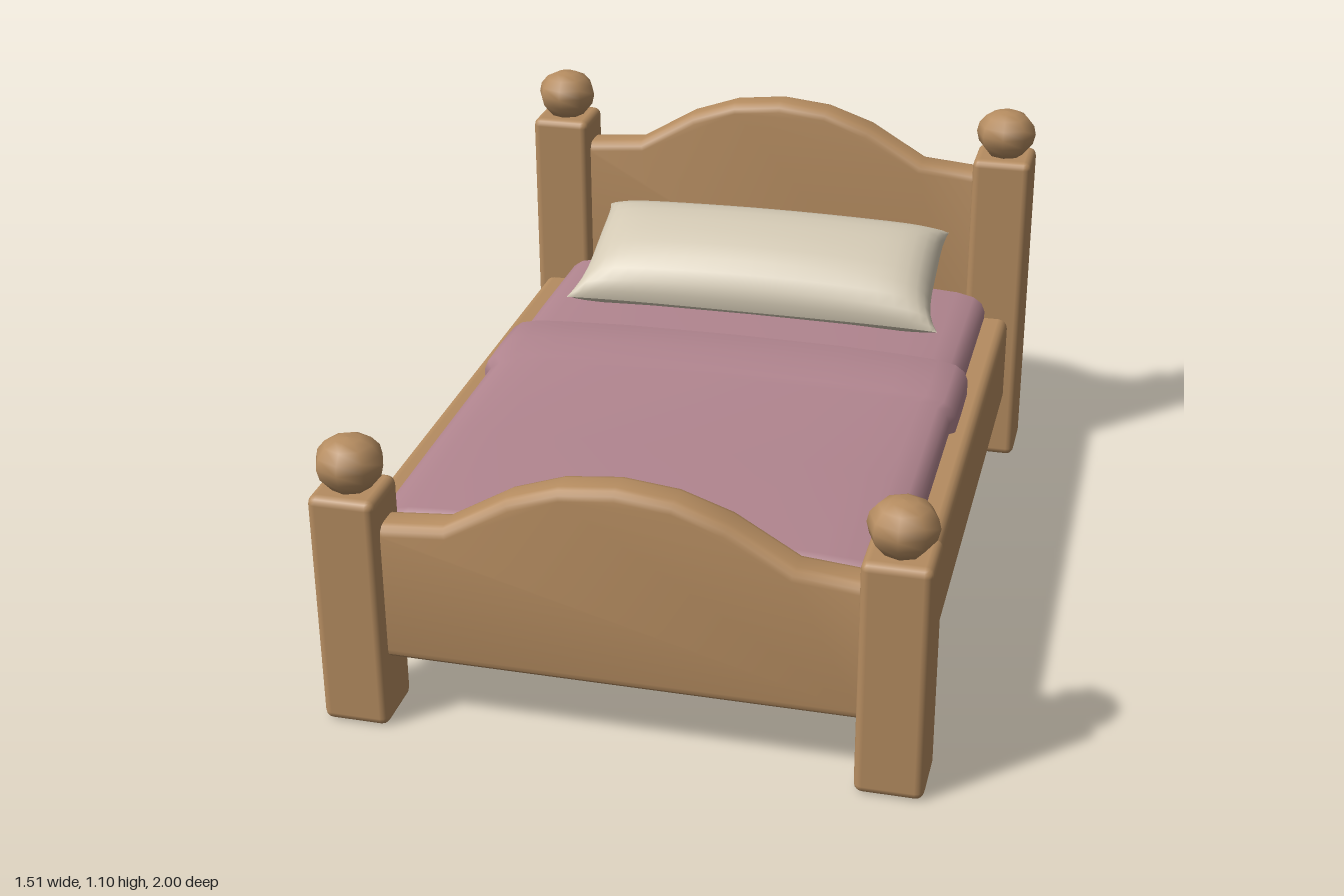
import * as THREE from 'three';
import { RoundedBoxGeometry } from 'three/addons/geometries/RoundedBoxGeometry.js';
import { toCreasedNormals } from 'three/addons/utils/BufferGeometryUtils.js';

const material = (name, color) => {
  const m = new THREE.MeshStandardMaterial({ color });
  m.name = name;
  return m;
};

// Smooth surface through a grid of points; the outside lies on the rows-cross-columns side
const gridSurface = (rows) => {
  const n = rows[0].length, indices = [];
  for (let i = 0; i < rows.length - 1; i++) {
    for (let j = 0; j < n - 1; j++) {
      const a = i * n + j, b = a + 1, c = a + n, d = c + 1;
      indices.push(a, c, b, b, c, d);
    }
  }
  const geometry = new THREE.BufferGeometry();
  geometry.setAttribute('position', new THREE.Float32BufferAttribute(rows.flat(2), 3));
  geometry.setIndex(indices);
  geometry.computeVertexNormals();
  return geometry;
};

export function createModel() {
  const bed = new THREE.Group();
  bed.name = 'bed';
  const wood = material('wood', 0xb58c60);
  const pink = material('bedding pink', 0xb1858f);
  pink.side = THREE.DoubleSide;
  const cream = material('pillow cream', 0xd2c8b3);

  const add = (name, geometry, mat, x = 0, y = 0, z = 0) => {
    const mesh = new THREE.Mesh(geometry, mat);
    mesh.name = name;
    mesh.position.set(x, y, z);
    bed.add(mesh);
    return mesh;
  };

  // Rounded wooden block given by its limits on each axis
  const block = (name, [x0, x1], [y0, y1], [z0, z1], radius) =>
    add(name, new RoundedBoxGeometry(x1 - x0, y1 - y0, z1 - z0, 2, radius), wood,
      (x0 + x1) / 2, (y0 + y1) / 2, (z0 + z1) / 2);

  // Corner posts with turned, eight-sided knobs
  const knobProfile = [[0, -0.01], [0.05, 0], [0.06, 0.012], [0.079, 0.035], [0.086, 0.064],
    [0.08, 0.09], [0.06, 0.114], [0.032, 0.127], [0, 0.13]].map(([r, y]) => new THREE.Vector2(r, y));
  const post = (name, x, z, height) => {
    block(name + 'Post', [x - 0.085, x + 0.085], [0, height], [z - 0.085, z + 0.085], 0.022);
    add(name + 'Knob', new THREE.LatheGeometry(knobProfile, 8), wood, x, height, z);
  };
  post('headRight', -0.67, -0.915, 0.97);
  post('headLeft', 0.67, -0.915, 0.95);
  post('footRight', -0.67, 0.915, 0.63);
  post('footLeft', 0.67, 0.915, 0.63);

  // Head and foot boards with an arched top edge
  const arch = [[0.62, 0], [0.58, 0.002], [0.43, 0.015], [0.27, 0.11], [0.14, 0.155], [0, 0.17]];
  const board = (name, z, shoulder) => {
    const right = [[0.62, 0.18], ...arch.map(([x, y]) => [x, shoulder + y])];
    const left = right.slice(0, -1).map(([x, y]) => [-x, y]).reverse();
    const shape = new THREE.Shape([...right, ...left].map(([x, y]) => new THREE.Vector2(x, y)));
    const geometry = new THREE.ExtrudeGeometry(shape, {
      depth: 0.046, bevelEnabled: true, bevelThickness: 0.027, bevelSize: 0.027,
      bevelOffset: -0.027, bevelSegments: 3 });
    add(name, toCreasedNormals(geometry, 0.8), wood, 0, 0, z - 0.023);
  };
  board('headboard', -0.915, 0.895);
  board('footboard', 0.915, 0.55);

  // Side rails
  block('rightRail', [-0.73, -0.625], [0.18, 0.455], [-0.86, 0.86], 0.028);
  block('leftRail', [0.615, 0.715], [0.18, 0.455], [-0.86, 0.86], 0.028);

  // Bedding: open-bottomed covers lofted along z from [z, halfWidth, top] stations.
  // Each section is given as [inset from the side, drop below the top].
  const hem = 0.4;
  const section = [[0, 1], [0, 0.07], [0.01, 0.045], [0.035, 0.027], [0.085, 0.016],
    [0.18, 0.01], [0.35, 0.003]];
  const cover = (name, stations) => {
    const rows = stations.map(([z, w, top]) => {
      const half = section.map(([inset, drop]) => [w - inset, Math.max(hem, top - drop), z]);
      const other = half.map(([x, y]) => [-x, y, z]).reverse();
      return [...half, [0, top, z], ...other];
    });
    add(name, gridSurface(rows), pink);
  };
  cover('blanket', [[0.868, 0.63, hem], [0.868, 0.64, 0.5], [0.855, 0.648, 0.535], [0.82, 0.65, 0.55],
    [0.4, 0.65, 0.554], [-0.035, 0.65, 0.557], [-0.05, 0.665, 0.569], [-0.17, 0.666, 0.571],
    [-0.29, 0.665, 0.569], [-0.305, 0.655, 0.55]]);
  cover('mattress', [[-0.28, 0.645, 0.547], [-0.5, 0.645, 0.549], [-0.83, 0.645, 0.546],
    [-0.86, 0.64, 0.53], [-0.868, 0.63, 0.5], [-0.868, 0.625, hem]]);

  // Pillow: two bulging halves sharing a pinched rim
  const pillowHalf = (name, depth) => {
    const rows = [];
    for (let j = 0; j <= 12; j++) {
      const v = Math.sin((j / 12 - 0.5) * Math.PI);
      const halfWidth = 0.512 + 0.025 * v ** 4 + 0.014 * v ** 3;
      const row = [];
      for (let i = 0; i <= 24; i++) {
        const u = Math.sin((i / 24 - 0.5) * Math.PI);
        const bulge = depth * (1 - 0.28 * u * u) * Math.sqrt(Math.max(0, 1 - u ** 12))
          * Math.sqrt(Math.max(0, 1 - Math.abs(v) ** 2.4));
        row.push([Math.sign(depth) * u * halfWidth, bulge, v * (0.202 + 0.008 * u ** 4)]);
      }
      rows.push(row);
    }
    add(name, gridSurface(rows), cream, 0, 0.63, -0.667).rotation.x = 0.37;
  };
  pillowHalf('pillowTop', 0.122);
  pillowHalf('pillowUnderside', -0.09);

  return bed;
}
